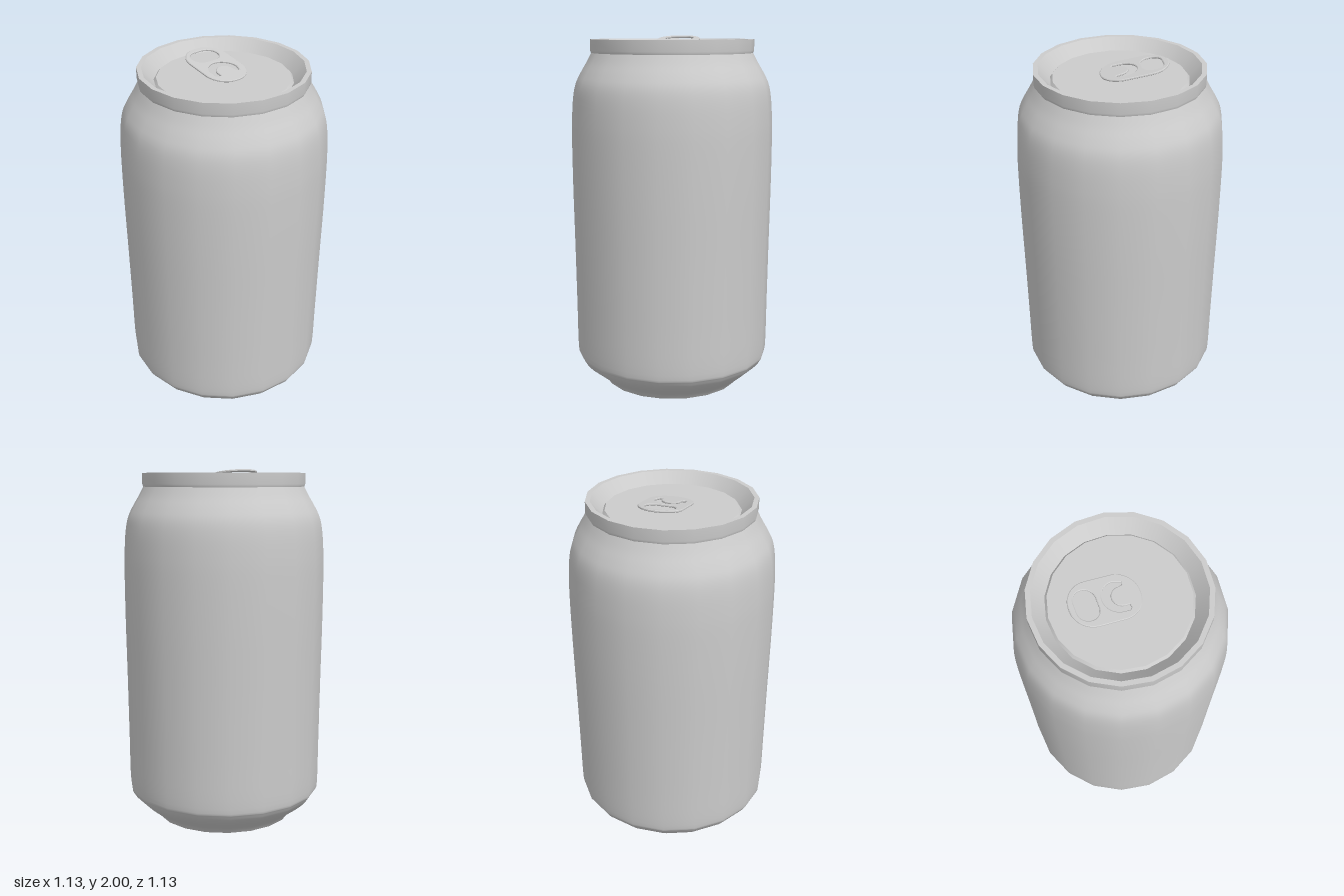
import * as THREE from 'three';

const SIDES = 19;
const material = new THREE.MeshStandardMaterial({ color: 0xcccccc });
const v = ([x, y]) => new THREE.Vector2(x, y);

// Revolve a profile (radius, height); one corner of the polygon points to -x
function turned(name, points) {
  const geometry = new THREE.LatheGeometry(points, SIDES, -Math.PI / 2);
  const mesh = new THREE.Mesh(geometry, material);
  mesh.name = name;
  return mesh;
}

// Rounded rectangle outline centred on (cx, cy)
function roundedOutline(path, cx, cy, w, h, r) {
  const x = w / 2 - r, y = h / 2 - r;
  path.absarc(cx + x, cy + y, r, 0, Math.PI / 2);
  path.absarc(cx - x, cy + y, r, Math.PI / 2, Math.PI);
  path.absarc(cx - x, cy - y, r, Math.PI, Math.PI * 1.5);
  path.absarc(cx + x, cy - y, r, Math.PI * 1.5, Math.PI * 2);
  path.closePath();
  return path;
}

function pullTab() {
  // Drawn flat with the shape's y pointing to the back (-z)
  const outline = roundedOutline(new THREE.Shape(), 0.007, 0.077, 0.242, 0.364, 0.115);

  // Finger hole
  outline.holes.push(roundedOutline(new THREE.Path(), 0.005, 0.173, 0.17, 0.118, 0.058));

  // Arched slot around the rivet tongue
  const slot = new THREE.Path();
  slot.moveTo(0.093, -0.028);
  slot.absarc(0.008, 0.008, 0.085, 0, Math.PI);
  slot.lineTo(-0.077, -0.028);
  slot.lineTo(-0.062, -0.038);
  slot.lineTo(-0.044, -0.036);
  slot.absarc(0.006, -0.008, 0.05, Math.PI, 0, true);
  slot.lineTo(0.062, -0.03);
  slot.lineTo(0.08, -0.034);
  slot.closePath();
  outline.holes.push(slot);

  const geometry = new THREE.ExtrudeGeometry(outline, {
    depth: 0.006, curveSegments: 8,
    bevelEnabled: true, bevelThickness: 0.003, bevelSize: 0.004, bevelOffset: -0.002, bevelSegments: 1,
  });
  geometry.rotateX(-Math.PI / 2);
  const mesh = new THREE.Mesh(geometry, material);
  mesh.name = 'pullTab';
  mesh.rotation.x = 0.15; // raised at the back
  mesh.position.y = 1.952;
  return mesh;
}

export function createModel() {
  const can = new THREE.Group();
  can.name = 'drinkCan';

  // Bottom disc
  can.add(turned('base', [[0, 0], [0.39, 0]].map(v)));

  // Side wall: tapered foot, almost straight wall, rounded shoulder
  const wall = new THREE.SplineCurve([
    [0.39, 0], [0.415, 0.032], [0.46, 0.066], [0.51, 0.108], [0.543, 0.15], [0.556, 0.2],
    [0.559, 0.45], [0.563, 0.8], [0.568, 1.15], [0.569, 1.42], [0.566, 1.55], [0.558, 1.66],
    [0.543, 1.735], [0.515, 1.795], [0.48, 1.855], [0.454, 1.905],
  ].map(v));
  can.add(turned('body', wall.getPoints(60)));

  // Rim collar, its flat lip and the sloping wall inside it
  can.add(turned('rimCollar', [[0.454, 1.905], [0.459, 1.92], [0.459, 1.98]].map(v)));
  can.add(turned('rimLip', [[0.459, 1.98], [0.433, 1.98]].map(v)));
  can.add(turned('rimInnerWall', [[0.433, 1.98], [0.37, 1.911]].map(v)));

  // Lid panel, raised by a small step
  can.add(turned('lidStep', [[0.37, 1.911], [0.358, 1.926]].map(v)));
  can.add(turned('lidPanel', [[0.358, 1.926], [0, 1.926]].map(v)));

  // Pull tab and the rivet that holds it
  can.add(pullTab());
  const rivet = new THREE.Mesh(new THREE.CylinderGeometry(0.025, 0.03, 0.022, 12), material);
  rivet.name = 'rivet';
  rivet.position.set(0.007, 1.936, 0.035);
  can.add(rivet);

  return can;
}
